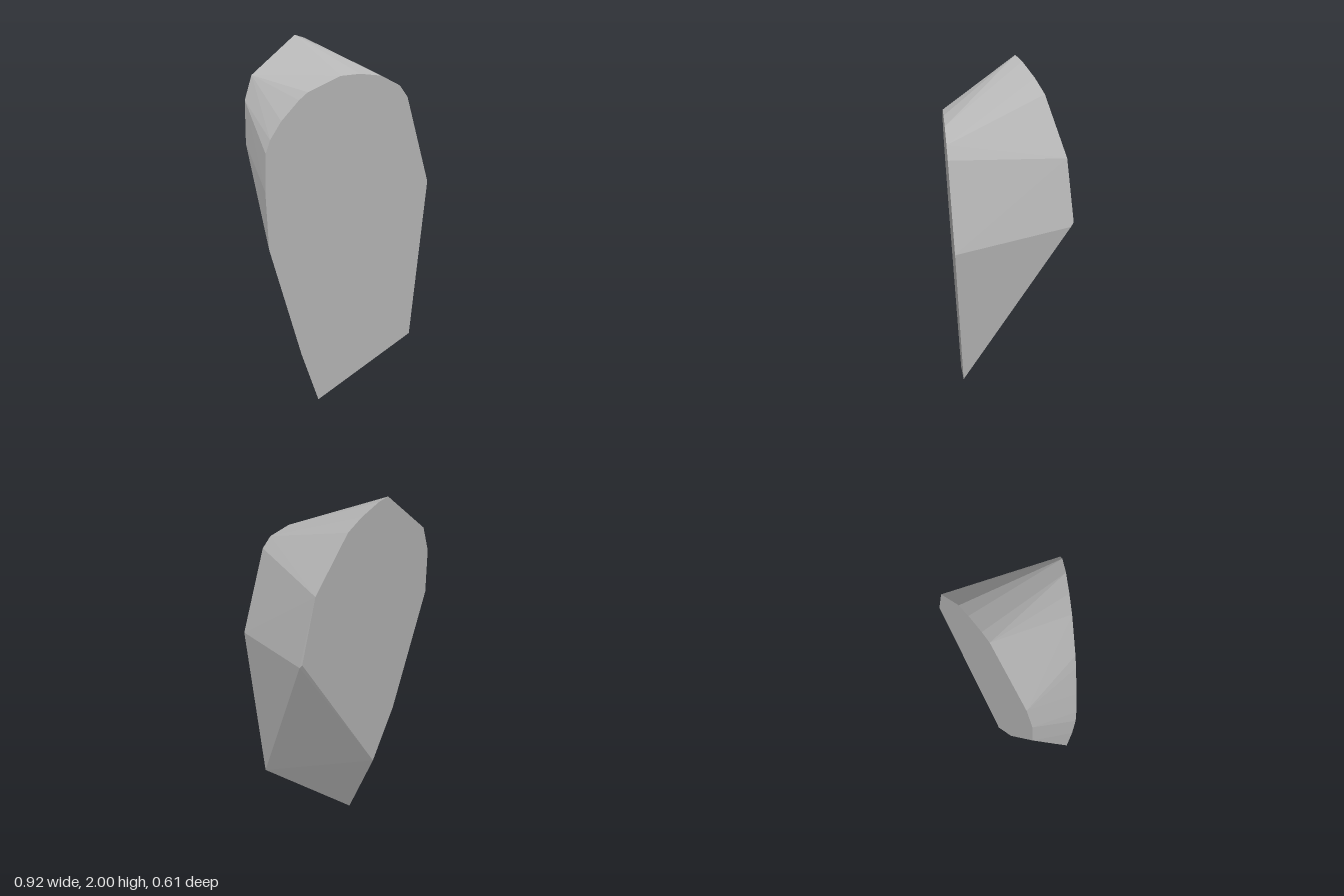
import * as THREE from 'three';
import { ConvexGeometry } from 'three/addons/geometries/ConvexGeometry.js';

export function createModel() {
  const group = new THREE.Group();
  group.name = 'stone';
  const stoneGrey = new THREE.MeshStandardMaterial({ color: 0xb4b4b4 });
  stoneGrey.name = 'stoneGrey';

  // Outline of the slanted front facet (x, y); its depth follows one plane
  const frontOutline = [
    [-0.185, 0], [0.27, 0.36], [0.32, 1.23], [0.2, 1.68], [0.16, 1.74],
    [0.07, 1.79], [-0.03, 1.8], [-0.12, 1.79], [-0.27, 1.71], [-0.31, 1.67],
    [-0.39, 1.565], [-0.44, 1.47], [-0.46, 1.4], [-0.46, 1.2], [-0.44, 0.89], [-0.275, 0.28],
  ];
  const front = frontOutline.map(([x, y]) => new THREE.Vector3(x, y, 0.497 * x + 0.052 * y + 0.082));

  // Outline of the flat back facet (x, y)
  const backOutline = [
    [-0.06, 0.53], [0.458, 1.3], [0.37, 1.62], [0.16, 1.88], [0.07, 1.935],
    [-0.045, 1.985], [-0.11, 2], [-0.39, 1.79], [-0.435, 1.66], [-0.435, 1.43], [-0.21, 0.81],
  ];
  const back = backOutline.map(([x, y]) => new THREE.Vector3(x, y, -0.305));

  // Small chipped corner on the left edge
  const corner = new THREE.Vector3(0.46, 1.28, -0.288);

  const body = new THREE.Mesh(new ConvexGeometry([...front, ...back, corner]), stoneGrey);
  body.name = 'facetedStone';
  group.add(body);
  return group;
}
